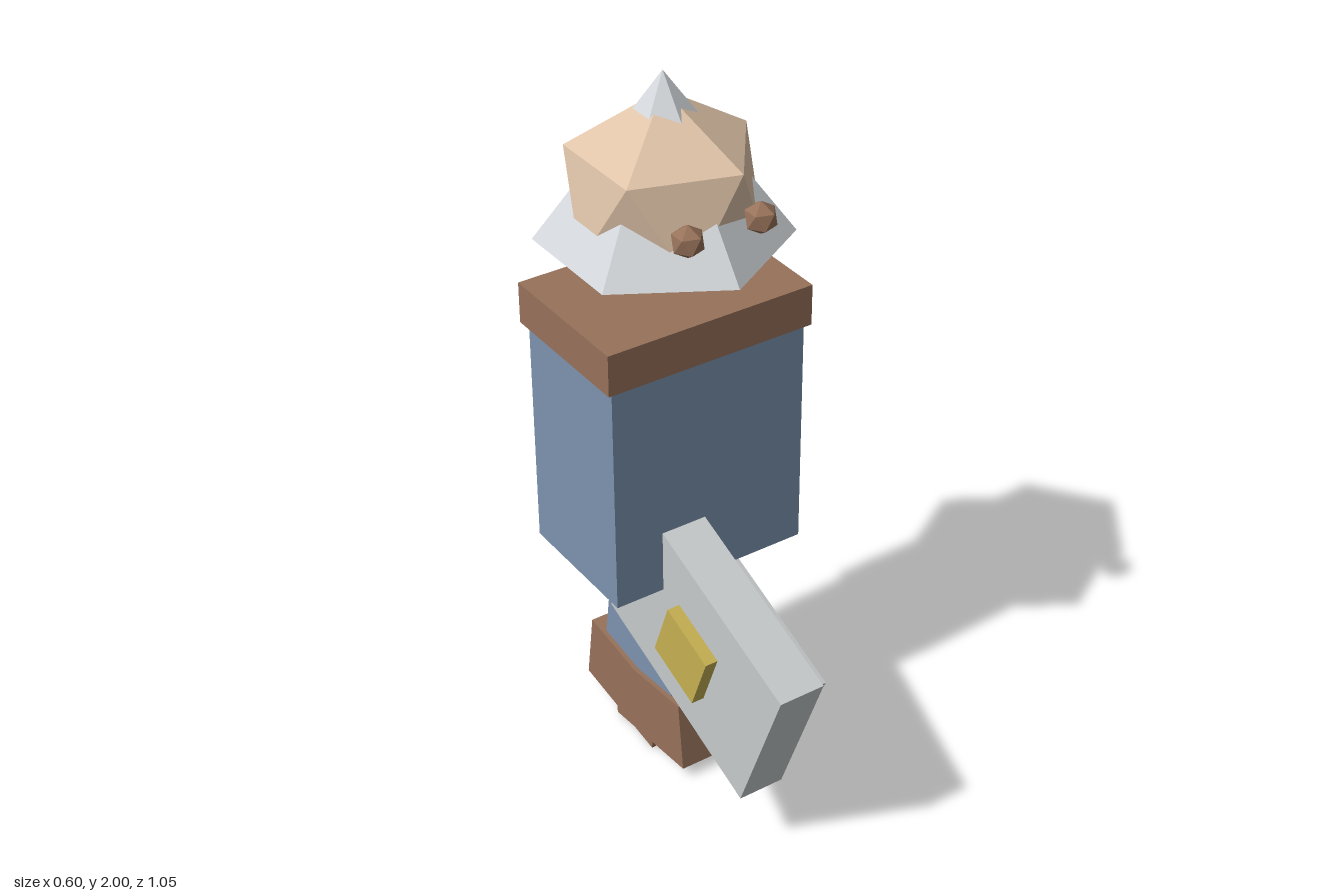
import * as THREE from 'three';

const mat = (name, color) => {
  const m = new THREE.MeshStandardMaterial({ color, flatShading: true });
  m.name = name;
  return m;
};

export function createModel() {
  const skin = mat('skin', 0xdfc3a8);
  const leather = mat('brown leather', 0x97725a);
  const cloth = mat('blue cloth', 0x7c93ae);
  const hatGrey = mat('pale grey', 0xd3d7db);
  const steel = mat('steel grey', 0xc6caca);
  const brass = mat('brass', 0xc6b052);

  const model = new THREE.Group();
  model.name = 'figure';

  const add = (name, geometry, material, pos, parent = model) => {
    const mesh = new THREE.Mesh(geometry, material);
    mesh.name = name;
    mesh.position.set(...pos);
    parent.add(mesh);
    return mesh;
  };
  const box = (name, size, material, pos, parent) =>
    add(name, new THREE.BoxGeometry(...size), material, pos, parent);

  // Twenty-sided ball standing on a corner, with a corner of its upper ring at +x
  const ball = (radius) =>
    new THREE.IcosahedronGeometry(radius, 0).rotateZ(-Math.atan(2 / (1 + Math.sqrt(5))));

  // Head, with a six-sided hat cone running through it
  add('head', ball(0.27), skin, [0, 1.68, -0.2]);
  add('hat', new THREE.ConeGeometry(0.325, 0.44, 6), hatGrey, [0, 1.78, -0.2]);
  for (const side of [-1, 1]) {
    add(side > 0 ? 'leftEye' : 'rightEye', ball(0.044), leather, [side * 0.104, 1.693, 0.06]);
  }

  // Torso and shoulder slab
  box('torso', [0.57, 0.66, 0.39], cloth, [0, 0.98, -0.197]);
  box('shoulders', [0.6, 0.115, 0.42], leather, [0, 1.3625, -0.2]);

  // Legs swing from one hip point and cross through each other
  for (const [name, swing] of [['forwardLeg', -0.104], ['rearLeg', 0.149]]) {
    const leg = new THREE.Group();
    leg.name = name;
    leg.position.set(0, 0.64, -0.197);
    leg.rotation.x = swing;
    box('trouser', [0.2, 0.5, 0.228], cloth, [0, -0.17, 0], leg);
    box('boot', [0.226, 0.207, 0.337], leather, [0, -0.5165, 0], leg);
    model.add(leg);
  }

  // Large raised plate with a brass badge on its outer face
  const plate = new THREE.Group();
  plate.name = 'rightPlate';
  plate.position.set(-0.08, 0.53, 0.1275);
  plate.rotation.x = 0.366;
  box('plate', [0.13, 0.467, 0.664], steel, [0, 0, 0], plate);
  box('badge', [0.04, 0.18, 0.187], brass, [-0.081, 0, 0], plate);
  model.add(plate);

  // Smaller block on the left, also rolled a little
  box('leftBlock', [0.167, 0.18, 0.514], steel, [0.0765, 0.4085, 0.0195])
    .rotation.set(0.368, 0, -0.165);

  return model;
}
